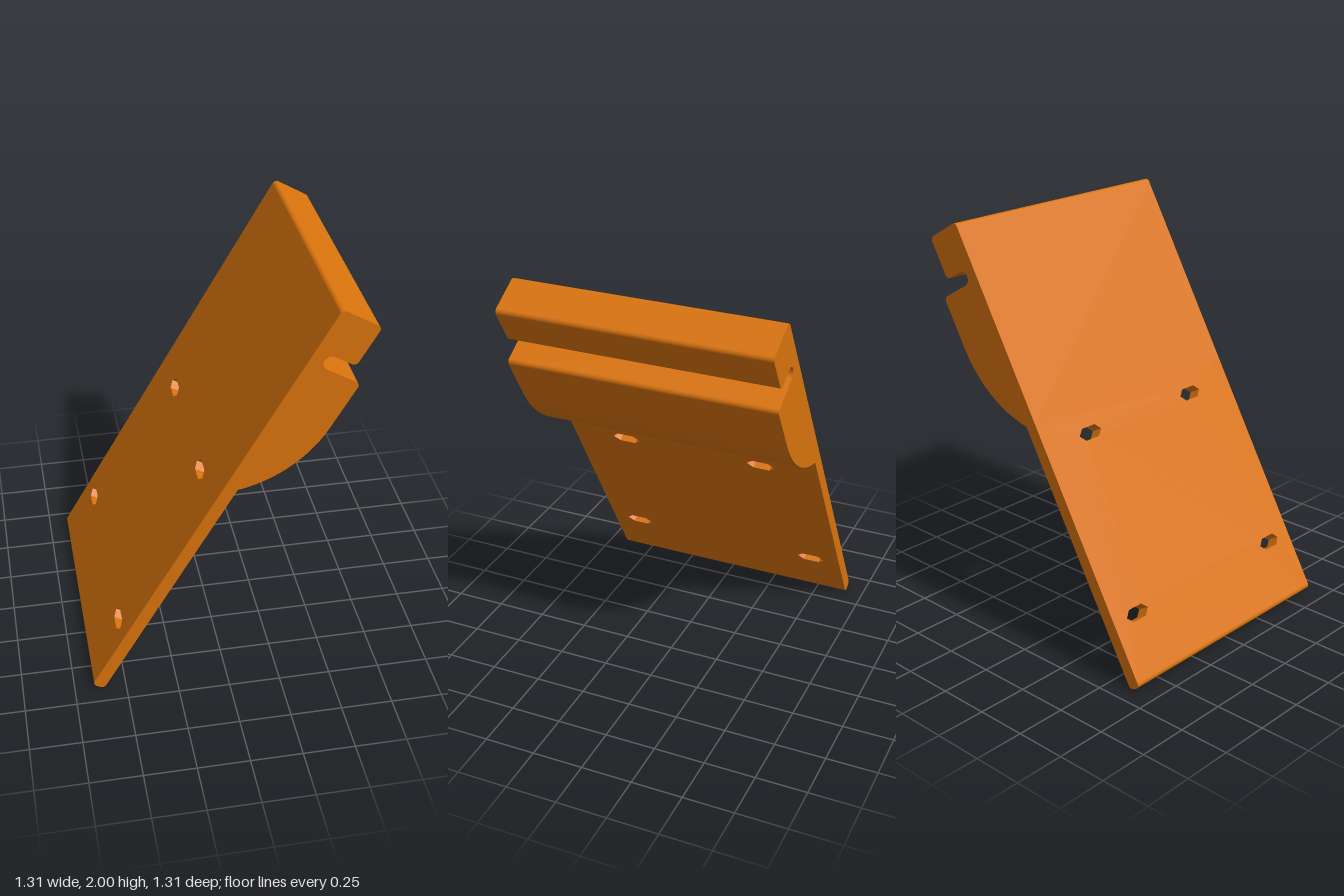
import * as THREE from 'three';

const WIDTH = 1.314;      // along z
const THICK = 0.064;      // plate thickness
const LENGTH = 2.291;     // along the slope
const HEAD = 0.208;       // depth of the top block
const LIP = 0.277;        // depth of the lip under the groove
const R = 0.022;          // edge rounding
const JOIN = 1.3;         // where the plate meets the thick head
const Q = Math.PI / 2;

// Rounded corner, counter-clockwise, starting at angle a
const corner = (shape, x, y, a) => shape.absarc(x, y, R, a, a + Q, false);

// Extrude a side profile across the full width
function acrossWidth(shape) {
  const g = new THREE.ExtrudeGeometry(shape, { depth: WIDTH, bevelEnabled: false, curveSegments: 6 });
  return g.translate(0, 0, -WIDTH / 2);
}

// Thick head: curved belly, lip, round-ended groove and top block
function headProfile() {
  const s = new THREE.Shape();
  const cx = LIP - 0.6, cy = 1.76;
  const grooveLow = 2.012, grooveHigh = 2.08;
  const grooveR = (grooveHigh - grooveLow) / 2;
  s.moveTo(0, JOIN);
  s.lineTo(THICK, JOIN);
  s.absarc(cx, cy, 0.6, Math.atan2(JOIN - cy, THICK - cx), 0, false);
  corner(s, LIP - R, grooveLow - R, 0);
  s.absarc(0.097, grooveLow + grooveR, grooveR, -Q, Q, true);
  corner(s, HEAD - R, grooveHigh + R, -Q);
  corner(s, HEAD - R, LENGTH - R, 0);
  corner(s, R, LENGTH - R, Q);
  s.closePath();
  return s;
}

// Rounded bottom edge of the plate
function toeProfile() {
  const s = new THREE.Shape();
  s.moveTo(0, R);
  corner(s, R, R, Math.PI);
  corner(s, THICK - R, R, -Q);
  s.closePath();
  return s;
}

// Thin plate with four pointed screw slots through it
function plateGeometry() {
  const h = WIDTH / 2;
  const s = new THREE.Shape();
  s.moveTo(-h, R);
  s.lineTo(h, R);
  s.lineTo(h, JOIN);
  s.lineTo(-h, JOIN);
  s.closePath();
  for (const [z, u] of [[0.5, 0.31], [0.36, 1.169]]) {
    for (const side of [-1, 1]) {
      const c = side * z;
      const outline = [[-0.072, 0], [-0.042, 0.03], [0.042, 0.03], [0.072, 0], [0.042, -0.03], [-0.042, -0.03]];
      s.holes.push(new THREE.Path(outline.map(([a, b]) => new THREE.Vector2(c + a, u + b))));
    }
  }
  const g = new THREE.ExtrudeGeometry(s, { depth: THICK, bevelEnabled: false });
  return g.rotateY(Q);
}

export function createModel() {
  const material = new THREE.MeshStandardMaterial({ color: 0xd9730d });
  const bracket = new THREE.Group();
  bracket.name = 'slopedBracket';

  const parts = {
    groovedHead: acrossWidth(headProfile()),
    slottedPlate: plateGeometry(),
    roundedToe: acrossWidth(toeProfile()),
  };
  for (const [name, geometry] of Object.entries(parts)) {
    const mesh = new THREE.Mesh(geometry, material);
    mesh.name = name;
    bracket.add(mesh);
  }

  // Lean the upright bracket 30 degrees towards +x
  bracket.rotation.z = -Math.PI / 6;
  bracket.position.set(-0.663, 0.024, 0);

  const model = new THREE.Group();
  model.name = 'model';
  model.add(bracket);
  return model;
}
